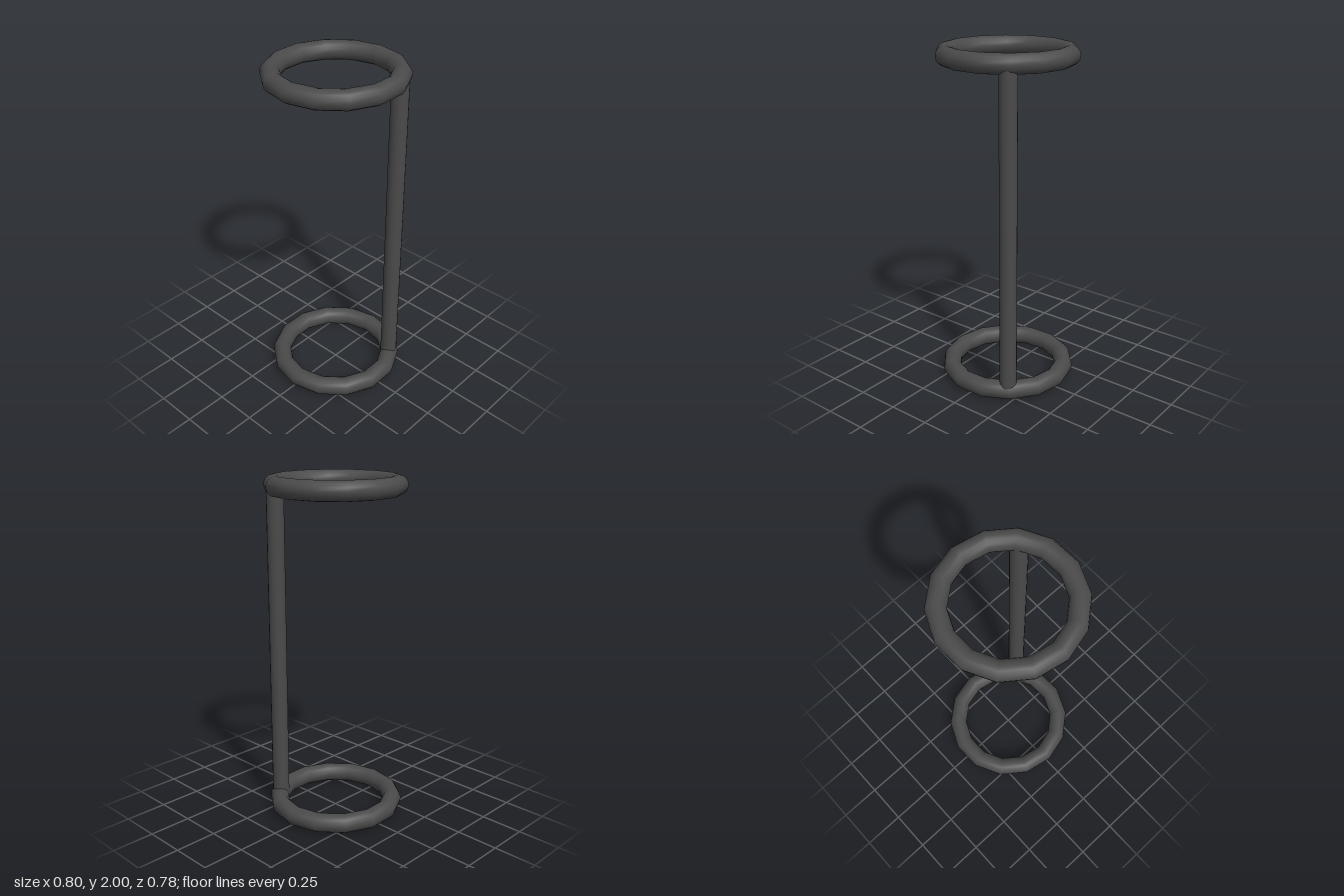
import * as THREE from 'three';

export function createModel() {
  const group = new THREE.Group();
  const material = new THREE.MeshStandardMaterial({ color: 0x4a4a4a });
  const tubeRadius = 0.055, ringRadius = 0.345, height = 2;

  // Two matching 14-sided rings lying flat, one at each end
  const ringGeometry = new THREE.TorusGeometry(ringRadius, tubeRadius, 16, 14);
  ringGeometry.rotateZ(-0.025).rotateX(Math.PI / 2);
  for (const [name, y] of [['bottomRing', tubeRadius], ['topRing', height - tubeRadius]]) {
    const ring = new THREE.Mesh(ringGeometry, material);
    ring.name = name;
    ring.position.y = y;
    group.add(ring);
  }

  // Upright post joining the rings at the front left, ends sunk into the tubes
  const post = new THREE.Mesh(
    new THREE.CylinderGeometry(0.05, 0.05, height - 2 * tubeRadius, 16), material);
  post.name = 'post';
  post.position.set(0.21, height / 2, 0.265);
  group.add(post);

  return group;
}
